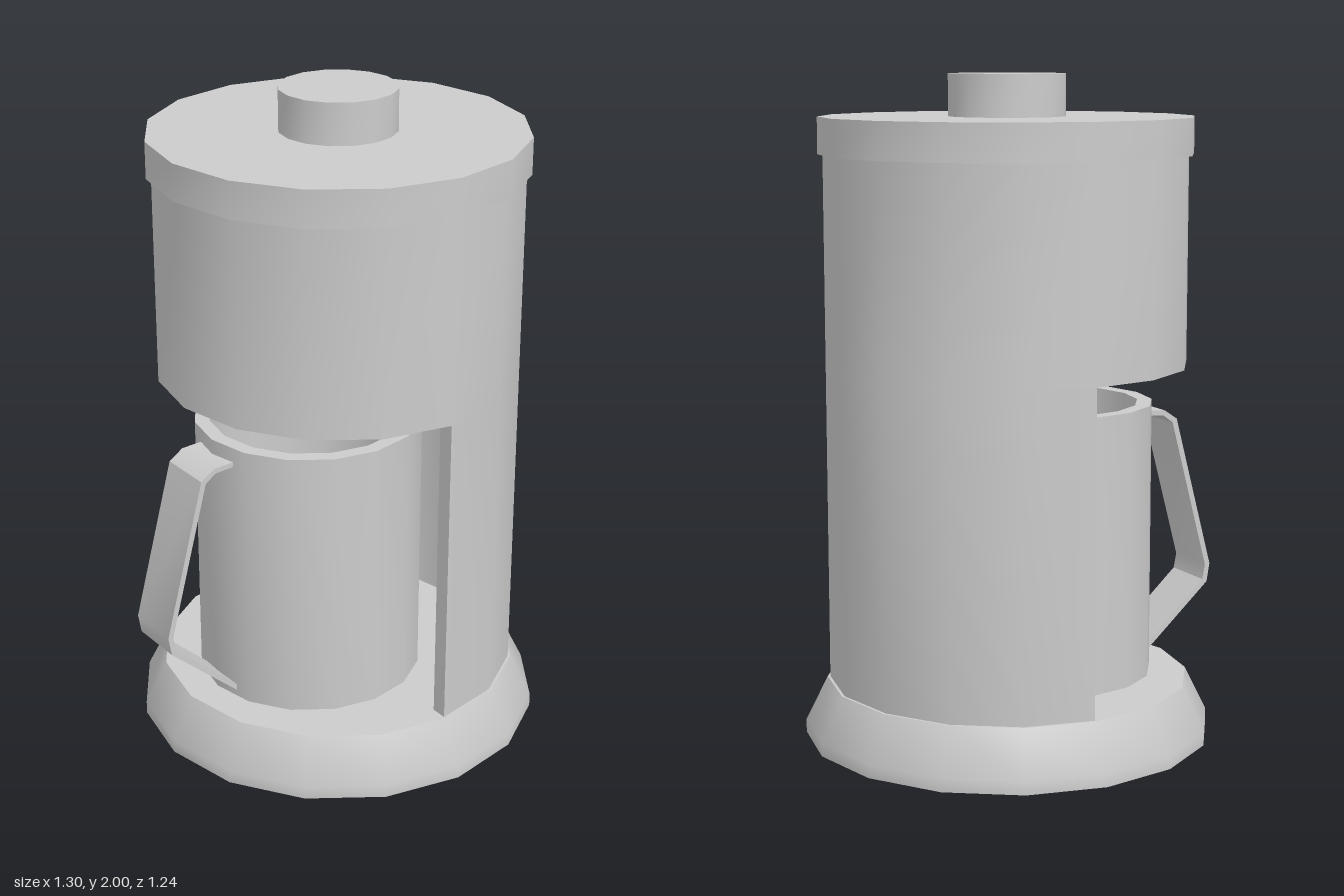
import * as THREE from 'three';
import { toCreasedNormals } from 'three/addons/utils/BufferGeometryUtils.js';

const SIDES = 16;
const CREASE = 0.6;
const AXIS_X = 0.025; // centre of the machine body
const V = (x, y) => new THREE.Vector2(x, y);

export function createModel() {
  const model = new THREE.Group();
  const material = new THREE.MeshStandardMaterial({ color: 0xcccccc });

  const add = (name, geometry, x = AXIS_X, y = 0) => {
    const mesh = new THREE.Mesh(toCreasedNormals(geometry, CREASE), material);
    mesh.name = name;
    mesh.position.set(x, y, 0);
    model.add(mesh);
  };
  const disc = (name, radius, bottom, top) =>
    add(name, new THREE.CylinderGeometry(radius, radius, top - bottom, SIDES), AXIS_X, (bottom + top) / 2);

  // Flared base plate
  add('base', new THREE.LatheGeometry(
    [V(0, 0), V(0.62, 0), V(0.62, 0.04), V(0.553, 0.175), V(0, 0.175)], SIDES));

  // Lower housing: a half-round wall open towards -x
  const arc = (r) => Array.from({ length: SIDES / 2 + 1 }, (_, i) => {
    const a = -Math.PI / 2 + (i * 2 * Math.PI) / SIDES;
    return V(r * Math.cos(a), r * Math.sin(a));
  });
  const wall = new THREE.Shape([...arc(0.545), ...arc(0.495).reverse()]);
  const wallGeometry = new THREE.ExtrudeGeometry(wall, { depth: 0.965, bevelEnabled: false });
  add('housingWall', wallGeometry.rotateX(-Math.PI / 2), AXIS_X, 0.175);

  // Upper housing, lid and knob
  disc('upperHousing', 0.545, 1.14, 1.765);
  disc('lid', 0.56, 1.765, 1.875);
  disc('knob', 0.175, 1.875, 2);

  // Open jug standing on the base
  const jugX = -0.085;
  add('jug', new THREE.LatheGeometry([
    V(0, 0.177), V(0.345, 0.177), V(0.345, 1.015), V(0.3, 1.015), V(0.3, 0.22), V(0, 0.22),
  ], SIDES), jugX);

  // Handle: a bent flat strip
  const outer = [V(-0.41, 0.97), V(-0.478, 0.967), V(-0.523, 0.937), V(-0.652, 0.46), V(-0.642, 0.402), V(-0.415, 0.198)];
  const inner = [V(-0.41, 0.955), V(-0.474, 0.951), V(-0.508, 0.926), V(-0.635, 0.458), V(-0.626, 0.411), V(-0.415, 0.218)];
  const strip = new THREE.Shape([...outer, ...inner.reverse()]);
  const handle = new THREE.ExtrudeGeometry(strip, { depth: 0.172, bevelEnabled: false });
  add('handle', handle.translate(0, 0, -0.087), 0);

  return model;
}
